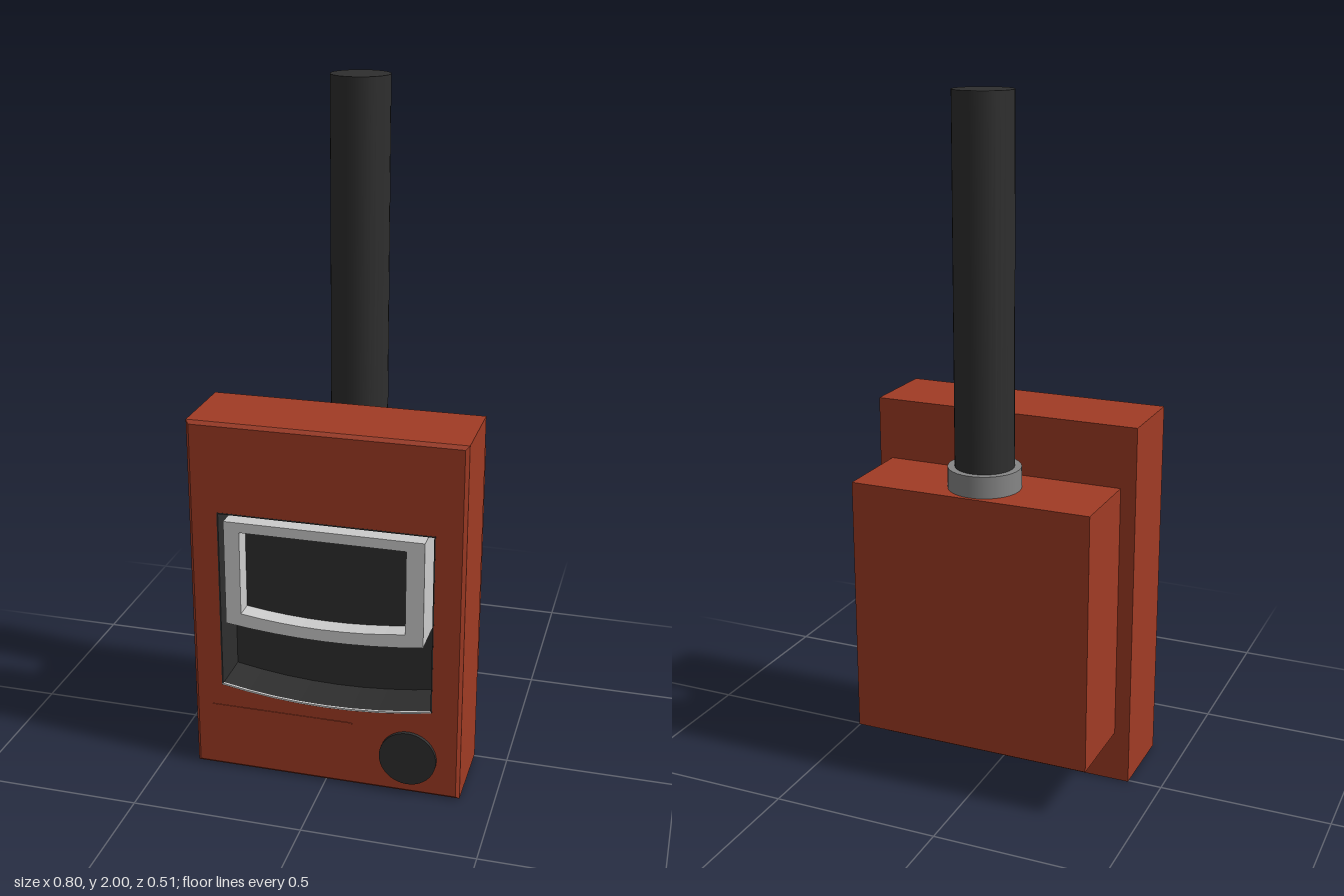
import * as THREE from 'three';

const FRONT = 0.244, FLOOR = 0.11, BACK = -0.007;

// Panel outline with a straight top and a bottom edge that sags to the middle
function sagPoints(x0, x1, top, side, mid, segs = 8) {
  const pts = [new THREE.Vector2(x1, top), new THREE.Vector2(x0, top)];
  for (let i = 0; i <= segs; i++) {
    const t = (i / segs) * 2 - 1;
    pts.push(new THREE.Vector2(x0 + ((x1 - x0) * i) / segs, mid + (side - mid) * t * t));
  }
  return pts;
}

// Extrude an outline (with an optional hole) between two depths
function slab(points, hole, z0, z1, steps = 1) {
  const shape = new THREE.Shape(points);
  if (hole) shape.holes.push(new THREE.Path(hole));
  const geo = new THREE.ExtrudeGeometry(shape, { depth: z1 - z0, bevelEnabled: false, steps });
  return geo.translate(0, 0, z0);
}

export function createModel() {
  const group = new THREE.Group();
  const mat = (name, color) => {
    const m = new THREE.MeshStandardMaterial({ color });
    m.name = name;
    return m;
  };
  const red = mat('brick red', 0xa03b24);
  const dark = mat('charcoal', 0x2e2e2e);
  const light = mat('light grey', 0xcccccc);
  const grey = mat('mid grey', 0x868686);

  const add = (name, geo, material, x = 0, y = 0, z = 0) => {
    const mesh = new THREE.Mesh(geo, material);
    mesh.name = name;
    mesh.position.set(x, y, z);
    group.add(mesh);
    return mesh;
  };
  const box = (name, material, x0, x1, y0, y1, z0, z1) =>
    add(name, new THREE.BoxGeometry(x1 - x0, y1 - y0, z1 - z0), material,
      (x0 + x1) / 2, (y0 + y1) / 2, (z0 + z1) / 2);

  // Front housing: solid rear half, front half with the recess cut through
  const H = 1.093;
  const recess = sagPoints(-0.315, 0.315, 0.825, 0.275, 0.245);
  box('housingRear', red, -0.4, 0.4, 0, H, BACK, FLOOR);
  const rect = [[-0.4, 0], [0.4, 0], [0.4, H], [-0.4, H]].map(p => new THREE.Vector2(...p));
  const housing = slab(rect, recess, FLOOR, FRONT, 2);
  // Chamfer the front rim: slide the middle ring forward, pull the front ring in
  const p = housing.attributes.position, c = 0.01;
  for (let i = 0; i < p.count; i++) {
    const x = p.getX(i), y = p.getY(i), z = p.getZ(i);
    if (z > FRONT - 0.001) {
      if (Math.abs(x) > 0.39) p.setX(i, x - Math.sign(x) * c);
      if (y < 0.01) p.setY(i, y + c);
      if (y > H - 0.01) p.setY(i, y - c);
    } else if (z > FLOOR + 0.01) p.setZ(i, FRONT - c);
  }
  housing.computeVertexNormals();
  add('housingFront', housing, red);

  // Dark lining of the recess and its back wall
  const lining = sagPoints(-0.311, 0.311, 0.821, 0.279, 0.249);
  add('recessLining', slab(recess, lining, FLOOR, FRONT + 0.0005), dark);
  add('recessBack', slab(recess, null, FLOOR, FLOOR + 0.003), dark);

  // Thin bright lip along the lower edge of the recess
  const lip = sagPoints(-0.313, 0.313, 0.82, 0.276, 0.246).slice(2);
  const lipTop = lip.map(v => new THREE.Vector2(v.x, v.y + 0.004)).reverse();
  add('recessLip', slab([...lip, ...lipTop], null, FRONT - 0.006, FRONT + 0.001), light);

  // Display frame and the screen set back inside it
  const frameOuter = sagPoints(-0.296, 0.286, 0.8, 0.48, 0.46);
  const frameInner = sagPoints(-0.25, 0.234, 0.77, 0.515, 0.497);
  add('displayFrame', slab(frameOuter, frameInner, FLOOR, FRONT), light);
  add('screen', slab(frameInner, null, FLOOR, FRONT - 0.055), dark);

  // Label plate and round button below the recess
  box('labelPlate', red, -0.345, 0.08, 0.035, 0.207, FRONT - 0.004, FRONT + 0.002);
  const button = add('button', new THREE.CylinderGeometry(0.084, 0.084, 0.03, 40), dark,
    0.248, 0.12, 0.24);
  button.rotation.x = Math.PI / 2;

  // Rear case with the collar and rod on top
  box('rearCase', red, -0.355, 0.361, 0.152, 0.912, -0.256, BACK);
  add('collar', new THREE.CylinderGeometry(0.104, 0.104, 0.065, 32), grey, 0, 0.942, -0.142);
  add('rod', new THREE.CylinderGeometry(0.084, 0.084, 1.08, 32), dark, 0, 1.46, -0.142);

  return group;
}
